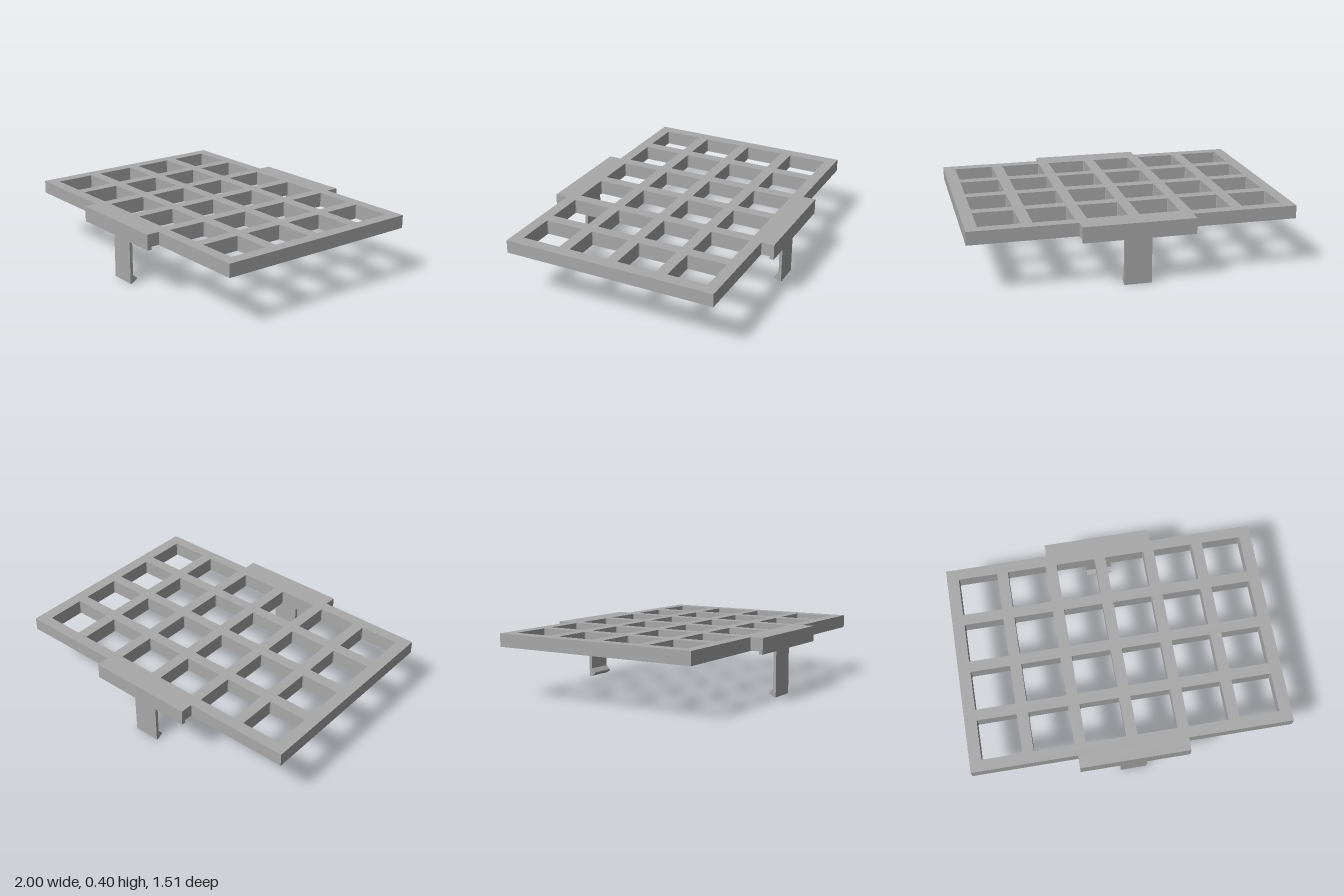
import * as THREE from 'three';

const TOP = 0.398, SKIN = 0.376, RIM = 0.316, COLLAR = 0.306;
const HX = 1, HZ = 0.676, PITCH = 0.32, HOLE = 0.125;

// Trace a rectangle with slightly rounded corners, centred on (cx, cz)
function trace(path, cx, cz, hx, hz, r = 0) {
  if (!r) {
    path.moveTo(cx - hx, cz - hz).lineTo(cx + hx, cz - hz);
    path.lineTo(cx + hx, cz + hz).lineTo(cx - hx, cz + hz);
  } else {
    path.moveTo(cx - hx + r, cz - hz);
    path.lineTo(cx + hx - r, cz - hz).lineTo(cx + hx, cz - hz + r);
    path.lineTo(cx + hx, cz + hz - r).lineTo(cx + hx - r, cz + hz);
    path.lineTo(cx - hx + r, cz + hz).lineTo(cx - hx, cz + hz - r);
    path.lineTo(cx - hx, cz - hz + r);
  }
  path.closePath();
  return path;
}

// Extrude a ground-plan shape between two heights
function slab(shape, y0, y1) {
  const geo = new THREE.ExtrudeGeometry(shape, { depth: y1 - y0, bevelEnabled: false });
  return geo.rotateX(-Math.PI / 2).translate(0, y0, 0);
}

export function createModel() {
  const model = new THREE.Group();
  model.name = 'gridCover';
  const grey = new THREE.MeshStandardMaterial({ color: 0xa8a8a8 });
  grey.name = 'grey plastic';
  const add = (parent, name, geo) => {
    const mesh = new THREE.Mesh(geo, grey);
    mesh.name = name;
    parent.add(mesh);
    return mesh;
  };

  // Thin top skin pierced by a 6 x 4 grid of holes
  const centres = [];
  for (let i = 0; i < 6; i++)
    for (let j = 0; j < 4; j++) centres.push([(i - 2.5) * PITCH, (j - 1.5) * PITCH]);
  const plate = trace(new THREE.Shape(), 0, 0, HX, HZ);
  for (const [x, z] of centres) plate.holes.push(trace(new THREE.Path(), x, z, HOLE, HOLE, 0.004));
  add(model, 'topPlate', slab(plate, SKIN, TOP));

  // Outer rim wall
  const rim = trace(new THREE.Shape(), 0, 0, HX, HZ);
  rim.holes.push(trace(new THREE.Path(), 0, 0, HX - 0.016, HZ - 0.016));
  add(model, 'outerRim', slab(rim, RIM, SKIN));

  // Thin collar hanging below each hole
  const ring = trace(new THREE.Shape(), 0, 0, HOLE + 0.009, HOLE + 0.009);
  ring.holes.push(trace(new THREE.Path(), 0, 0, HOLE, HOLE, 0.004));
  const collarGeo = slab(ring, COLLAR, SKIN);
  for (const [x, z] of centres) add(model, 'holeCollar', collarGeo).position.set(x, 0, z);

  // Clip cross-section (z, y): filleted root, straight leg, inward hook
  const clip = new THREE.Shape();
  clip.moveTo(0.712, 0.002);
  clip.lineTo(0.712, 0.303);
  clip.quadraticCurveTo(0.713, 0.316, 0.728, 0.32);
  clip.lineTo(0.677, 0.32);
  clip.quadraticCurveTo(0.692, 0.316, 0.693, 0.303);
  clip.lineTo(0.693, 0.054);
  clip.lineTo(0.668, 0.031);
  clip.quadraticCurveTo(0.663, 0.024, 0.67, 0.018);
  clip.lineTo(0.694, 0.003);
  clip.quadraticCurveTo(0.702, 0, 0.712, 0);
  clip.closePath();
  const clipGeo = new THREE.ExtrudeGeometry(clip, { depth: 0.168, bevelEnabled: false, curveSegments: 5 });
  clipGeo.translate(0, 0, -0.084).rotateY(-Math.PI / 2).scale(1, 1, 1);
  // Shape x now runs along +z
  clipGeo.computeBoundingBox();

  // Tab, down-turned lip and clip on the front and back edges
  for (const side of ['front', 'back']) {
    const end = new THREE.Group();
    end.name = side + 'Latch';
    add(end, 'tab', new THREE.BoxGeometry(0.686, TOP - 0.318, 0.081))
      .position.set(0, (TOP + 0.318) / 2, 0.7165);
    add(end, 'tabLip', new THREE.BoxGeometry(0.686, 0.018, 0.026))
      .position.set(0, 0.309, 0.744);
    add(end, 'clip', clipGeo);
    if (side === 'back') end.rotation.y = Math.PI;
    model.add(end);
  }
  return model;
}
